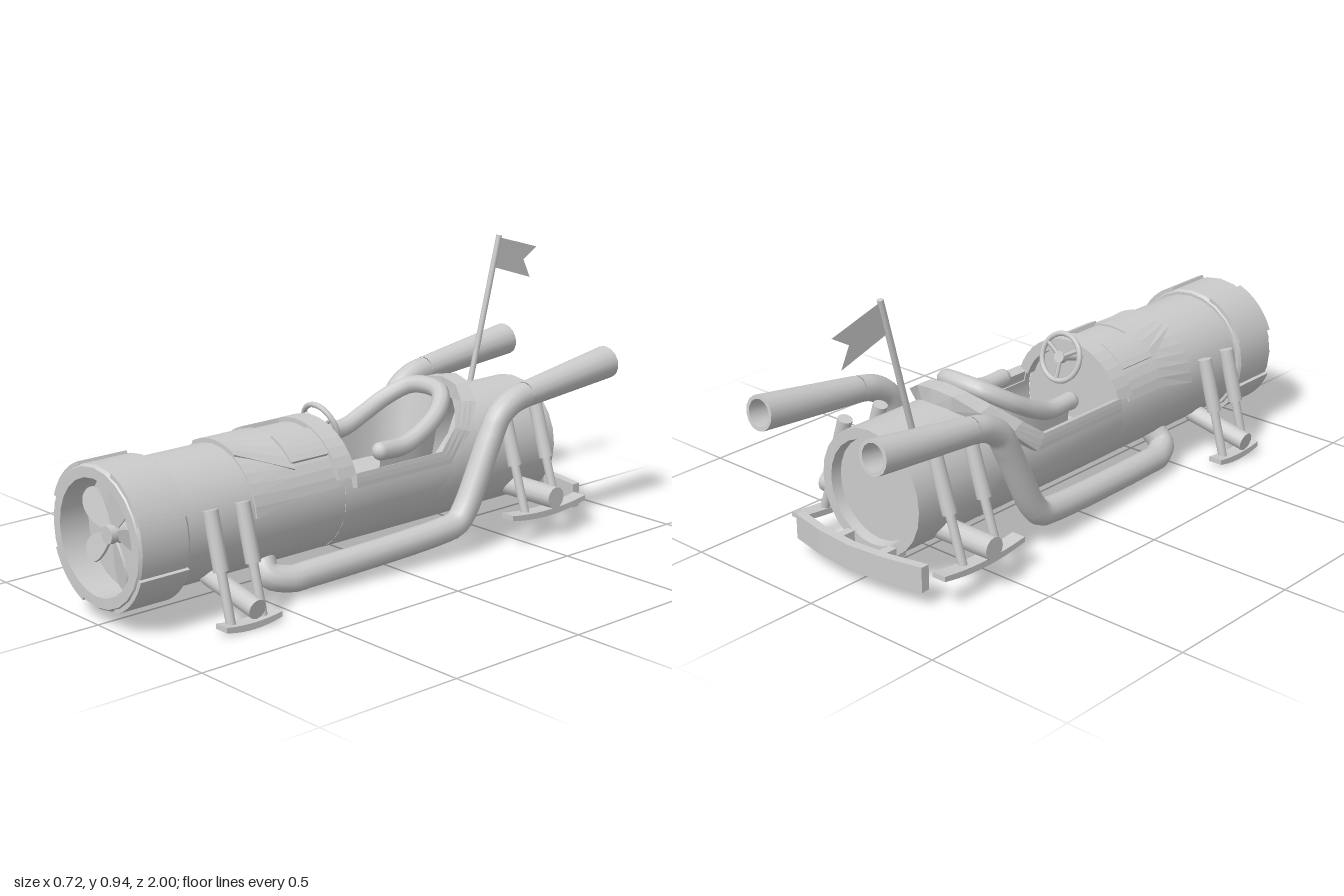
import * as THREE from 'three';

const CY = 0.27;   // height of the body axis
const R = 0.205;   // body radius
const mat = new THREE.MeshStandardMaterial({ color: 0xcccccc, side: THREE.DoubleSide });
const V = (x, y, z) => new THREE.Vector3(x, y, z);
const UP = V(0, 1, 0);

function add(parent, name, geo, x = 0, y = 0, z = 0) {
  const m = new THREE.Mesh(geo, mat);
  m.name = name;
  m.position.set(x, y, z);
  parent.add(m);
  return m;
}

// point on the body: angle from the top, radius, z
const polar = (a, r, z) => V(r * Math.sin(a), CY + r * Math.cos(a), z);

// surface through equal-length rows of points
function grid(rows, flat = false) {
  const n = rows[0].length, pos = [], idx = [];
  rows.forEach(row => row.forEach(p => pos.push(p.x, p.y, p.z)));
  for (let i = 0; i < rows.length - 1; i++) for (let j = 0; j < n - 1; j++) {
    const a = i * n + j, b = a + n;
    idx.push(a, a + 1, b, b, a + 1, b + 1);
  }
  let g = new THREE.BufferGeometry();
  g.setAttribute('position', new THREE.Float32BufferAttribute(pos, 3));
  g.setIndex(idx);
  if (flat) g = g.toNonIndexed();
  g.computeVertexNormals();
  return g;
}

// raised plate on the body between two paths of [angle, z], its edges dropping to the skin
function patch(pathA, pathB, radius, n = 10) {
  const row = (i, low) => {
    const [a0, z0] = pathA[i], [a1, z1] = pathB[i], out = [];
    for (let k = -1; k <= n + 1; k++) {
      const t = Math.min(Math.max(k / n, 0), 1), a = a0 + (a1 - a0) * t;
      out.push(polar(a, low || k < 0 || k > n ? R - 0.005 : radius(a), z0 + (z1 - z0) * t));
    }
    return out;
  };
  const rows = pathA.map((_, i) => row(i, false));
  return grid([row(0, true), ...rows, row(pathA.length - 1, true)], true);
}

// solid arc segment along z, angles from the top
function arcPlate(r0, r1, a0, a1, z0, z1) {
  const s = new THREE.Shape();
  s.absarc(0, 0, r1, Math.PI / 2 - a0, Math.PI / 2 - a1, true);
  s.absarc(0, 0, r0, Math.PI / 2 - a1, Math.PI / 2 - a0, false);
  return new THREE.ExtrudeGeometry(s, { depth: z1 - z0, bevelEnabled: false, curveSegments: 8 }).translate(0, CY, z0);
}

function place(m, a, b) {
  m.position.copy(a);
  m.quaternion.setFromUnitVectors(UP, b.clone().sub(a).normalize());
  return m;
}
function rod(parent, name, a, b, r, seg = 12) {
  const L = a.distanceTo(b);
  return place(add(parent, name, new THREE.CylinderGeometry(r, r, L, seg).translate(0, L / 2, 0)), a, b);
}
// [radius, z] profile turned about the body axis, with sharp corners
function turned(parent, name, profile, seg = 24) {
  for (let i = 0; i < profile.length - 1; i++) {
    const pts = [profile[i], profile[i + 1]].map(([r, z]) => new THREE.Vector2(r, z));
    add(parent, name, new THREE.LatheGeometry(pts, seg).rotateX(Math.PI / 2), 0, CY, 0);
  }
}

// skid: a shallow bow seen from the side
function skid(z, y, half, rise) {
  const s = new THREE.Shape();
  s.moveTo(-half, rise);
  s.quadraticCurveTo(0, -rise, half, rise);
  s.lineTo(half, rise + 0.017);
  s.quadraticCurveTo(0, -rise + 0.025, -half, rise + 0.017);
  return new THREE.ExtrudeGeometry(s, { depth: 0.05, bevelEnabled: false })
    .rotateY(Math.PI / 2).translate(-0.025, y, z);
}

export function createModel() {
  const g = new THREE.Group();
  g.name = 'jetRacer';

  // front and rear body tubes
  turned(g, 'noseBody', [[R, 0.2], [R, 0.83]]);
  turned(g, 'tailBody', [[R, -0.41], [R, -0.745], [0.17, -0.745], [0.165, -0.71], [0, -0.71]]);

  // cockpit hull, open at the top
  const opening = [[0.2, 1.25], [0, 1.25], [-0.2, 1.25], [-0.28, 0.98], [-0.36, 0.6], [-0.4, 0.3], [-0.415, 0]];
  add(g, 'cockpitHull', grid(opening.map(([z, a]) =>
    Array.from({ length: 29 }, (_, k) => polar(a + (2 * Math.PI - 2 * a) * k / 28, R, z)))));
  add(g, 'dashboard', new THREE.CircleGeometry(R, 24).rotateY(Math.PI), 0, CY, 0.2);
  add(g, 'floor', new THREE.BoxGeometry(0.37, 0.02, 0.6), 0, 0.2, -0.1);

  // rim around the opening, rising behind the seat
  const inner = [[1.22, 0.17], [1.22, -0.2], [0.95, -0.28], [0.6, -0.36], [0.3, -0.4], [0, -0.41]];
  const outer = [[1.42, 0.17], [1.42, -0.24], [1.05, -0.34], [0.65, -0.42], [0.3, -0.46], [0, -0.475]];
  const both = p => [...p, ...p.slice(0, -1).reverse().map(([a, z]) => [-a, z])];
  add(g, 'cockpitRim', patch(both(inner), both(outer), a => 0.222 + 0.033 * Math.max(0, Math.cos(a)), 3));

  // hood plates
  const flip = p => p.map(([a, z]) => [-a, z]);
  const side = [[-1.35, 0.23], [-1.35, 0.4], [-1.5, 0.56]];
  add(g, 'engineCover', patch(side, flip(side), () => 0.211, 18));
  const top = [[-0.95, 0.38], [-0.5, 0.56]];
  add(g, 'hoodPanel', patch(top, flip(top), () => 0.218));
  add(g, 'dashCowl', arcPlate(0.19, 0.226, -1.25, 1.25, 0.165, 0.235));

  // nose cowl with raised corner blocks
  turned(g, 'noseCowl', [[R, 0.815], [0.215, 0.815], [0.222, 0.825], [0.222, 0.99],
    [0.215, 1], [0.182, 1], [0.178, 0.9], [0, 0.9]]);
  for (let i = 0; i < 4; i++) {
    const a = Math.PI / 4 + i * Math.PI / 2;
    add(g, 'cowlBlock', arcPlate(0.2, 0.231, a - 0.42, a + 0.42, 0.82, 0.995));
  }

  // fan
  const fan = new THREE.Group();
  fan.name = 'fan';
  fan.position.set(0, CY, 0.93);
  g.add(fan);
  const blade = new THREE.Shape();
  blade.moveTo(0.02, -0.01);
  blade.bezierCurveTo(0.07, -0.035, 0.165, -0.07, 0.17, -0.005);
  blade.bezierCurveTo(0.172, 0.055, 0.08, 0.055, 0.02, 0.01);
  const bladeGeo = new THREE.ExtrudeGeometry(blade, { depth: 0.008, bevelEnabled: false }).rotateX(0.25);
  for (let i = 0; i < 5; i++) add(fan, 'fanBlade', bladeGeo).rotation.z = i * Math.PI * 0.4;
  add(fan, 'fanHub', new THREE.CylinderGeometry(0.028, 0.033, 0.06, 16).rotateX(Math.PI / 2));

  // seat: padded U-shaped roll over a bucket
  const half = [V(0.145, 0.375, 0.0), V(0.145, 0.375, -0.1), V(0.143, 0.41, -0.19), V(0.125, 0.455, -0.27), V(0.075, 0.495, -0.33)];
  const roll = new THREE.CatmullRomCurve3([...half, V(0, 0.505, -0.345),
    ...half.slice().reverse().map(p => V(-p.x, p.y, p.z))]);
  add(g, 'seatRoll', new THREE.TubeGeometry(roll, 40, 0.03, 10));
  for (const s of [1, -1]) add(g, 'seatRollEnd', new THREE.SphereGeometry(0.03, 10, 8), s * 0.145, 0.375, 0);
  const lip = roll.getPoints(32);
  add(g, 'seatBucket', grid([lip, lip.map(p => V(p.x * 0.9, 0.21, p.z * 0.85))]));
  add(g, 'seatCushion', new THREE.BoxGeometry(0.26, 0.05, 0.26), 0, 0.235, -0.14);

  // steering wheel
  const wheel = new THREE.Group();
  wheel.name = 'steeringWheel';
  wheel.position.set(0, 0.45, 0.125);
  wheel.rotation.x = 0.32;
  g.add(wheel);
  add(wheel, 'wheelRim', new THREE.TorusGeometry(0.078, 0.009, 8, 28));
  add(wheel, 'wheelHub', new THREE.CylinderGeometry(0.02, 0.02, 0.02, 12).rotateX(Math.PI / 2));
  for (let i = 0; i < 3; i++) {
    const a = Math.PI / 6 + i * Math.PI * 2 / 3;
    rod(wheel, 'wheelSpoke', V(0, 0, 0), V(0.078 * Math.cos(a), 0.078 * Math.sin(a), 0), 0.007, 6);
  }
  rod(wheel, 'steeringColumn', V(0, 0, 0), V(0, 0, 0.09), 0.01, 8);

  // parts on both sides
  for (const s of [1, -1]) {
    add(g, 'hoodVent', patch([[s * 0.33, 0.24], [s * 0.33, 0.39]], [[s * 0.85, 0.24], [s * 0.85, 0.39]], () => 0.225, 5));

    // exhaust pipe with a flared hollow tail
    const pts = [[0.1, 0.13, 0.46], [0.15, 0.075, 0.475], [0.185, 0.055, 0.41], [0.195, 0.058, 0.34], [0.235, 0.09, -0.18],
      [0.24, 0.105, -0.25], [0.24, 0.15, -0.29], [0.24, 0.37, -0.4], [0.24, 0.43, -0.435],
      [0.24, 0.47, -0.5], [0.24, 0.483, -0.56]].map(([x, y, z]) => V(s * x, y, z));
    add(g, 'exhaustPipe', new THREE.TubeGeometry(new THREE.CatmullRomCurve3(pts, false, 'centripetal'), 70, 0.043, 12));
    const a = pts[pts.length - 1], b = V(s * 0.24, 0.53, -0.958), L = a.distanceTo(b);
    const tail = [[0.043, 0], [0.056, L], [0.044, L], [0.038, L - 0.2], [0, L - 0.2]].map(p => new THREE.Vector2(...p));
    for (let i = 0; i < 4; i++)
      place(add(g, 'exhaustTail', new THREE.LatheGeometry(tail.slice(i, i + 2), 14)), a, b);

    // axles
    rod(g, 'frontAxle', V(s * 0.12, 0.115, 0.68), V(s * 0.355, 0.068, 0.68), 0.032);
    rod(g, 'rearAxle', V(s * 0.1, 0.147, -0.59), V(s * 0.362, 0.147, -0.59), 0.037);

    // shock absorbers and skids
    const shock = (z, hi, lo) => {
      const mid = hi.clone().lerp(lo, 0.53);
      rod(g, 'shockSleeve', hi.setZ(z), mid.setZ(z), 0.024);
      rod(g, 'shockRod', mid, lo.setZ(z), 0.015);
    };
    for (const z of [0.74, 0.62]) shock(z, V(s * 0.215, 0.352, 0), V(s * 0.305, 0.018, 0));
    for (const z of [-0.51, -0.66]) shock(z, V(s * 0.19, 0.43, 0), V(s * 0.3, 0.09, 0));
    add(g, 'frontSkid', skid(0.675, 0, 0.105, 0.013), s * 0.31);
    add(g, 'rearSkid', skid(-0.595, 0.077, 0.175, 0.018), s * 0.305);
    add(g, 'bumperBracket', new THREE.BoxGeometry(0.03, 0.04, 0.12), s * 0.09, 0.1, -0.765);
  }

  // rear bumper, bowed backward
  const bow = new THREE.Shape();
  [[-0.27, 0.775], [-0.14, 0.803], [0, 0.815], [0.14, 0.803], [0.27, 0.775],
    [0.27, 0.805], [0.14, 0.833], [0, 0.846], [-0.14, 0.833], [-0.27, 0.805]]
    .forEach(([x, z], i) => (i ? bow.lineTo(x, z) : bow.moveTo(x, z)));
  add(g, 'rearBumper', new THREE.ExtrudeGeometry(bow, { depth: 0.083, bevelEnabled: false }).rotateX(-Math.PI / 2), 0, 0.052, 0);

  // flag
  rod(g, 'flagPole', V(-0.135, 0.42, -0.675), V(-0.135, 0.936, -0.81), 0.01, 8);
  const flag = new THREE.Shape();
  [[0.805, 0.93], [1, 0.873], [0.935, 0.835], [0.968, 0.768], [0.775, 0.83]]
    .forEach(([z, y], i) => (i ? flag.lineTo(z, y) : flag.moveTo(z, y)));
  add(g, 'flag', new THREE.ShapeGeometry(flag).rotateY(Math.PI / 2), -0.135, 0, 0);
  return g;
}
